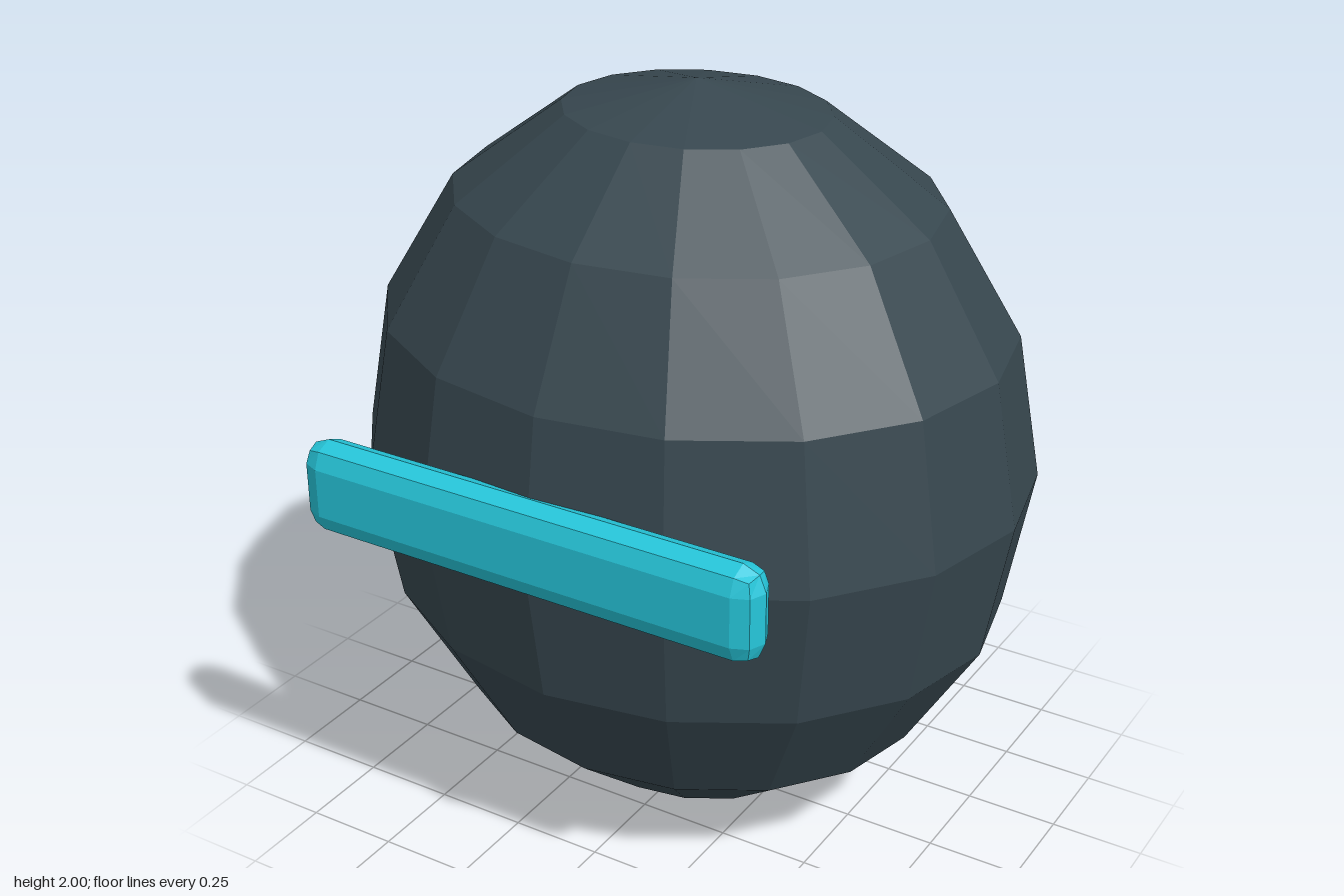
import * as THREE from 'three';
import { RoundedBoxGeometry } from 'three/addons/geometries/RoundedBoxGeometry.js';

export function createModel() {
  const model = new THREE.Group();
  model.name = 'visoredHead';

  const shell = new THREE.MeshStandardMaterial({ color: 0x37474f, flatShading: true });
  shell.name = 'dark slate';
  const glow = new THREE.MeshStandardMaterial({ color: 0x26c6da, flatShading: true });
  glow.name = 'cyan';

  // Faceted egg-shaped head
  const headGeometry = new THREE.SphereGeometry(1, 16, 8);
  headGeometry.scale(0.915, 1, 0.79);
  const head = new THREE.Mesh(headGeometry, shell);
  head.name = 'head';
  head.position.set(0, 1, -0.022);

  // Bevelled visor bar across the face
  const visor = new THREE.Mesh(new RoundedBoxGeometry(1.3, 0.25, 0.12, 1, 0.06), glow);
  visor.name = 'visor';
  visor.position.set(0, 1.065, 0.752);

  model.add(head, visor);
  return model;
}
